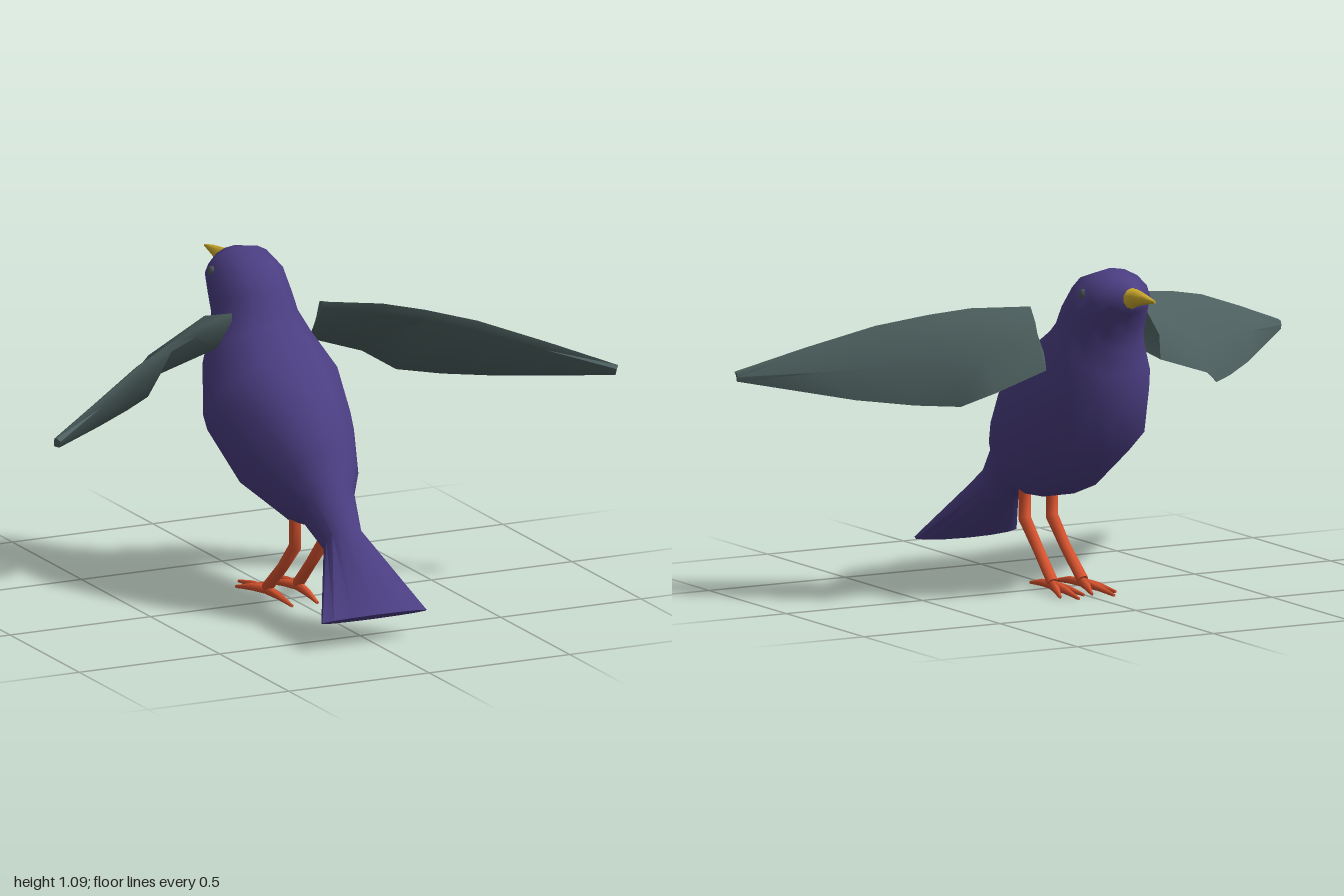
import * as THREE from 'three';
import { toCreasedNormals } from 'three/addons/utils/BufferGeometryUtils.js';

const V = (x, y, z) => new THREE.Vector3(x, y, z);

// Closed skin over rings of equal length, with capped ends, always facing outward
function loft(rings, crease = 0.7) {
  const n = rings[0].length;
  const pts = rings.flat();
  const index = [];
  for (let r = 0; r < rings.length - 1; r++) {
    for (let i = 0; i < n; i++) {
      const a = r * n + i, b = r * n + (i + 1) % n;
      index.push(a, b, b + n, a, b + n, a + n);
    }
  }
  for (const [r, flip] of [[0, true], [rings.length - 1, false]]) {
    const mid = pts.length;
    const c = V(0, 0, 0);
    rings[r].forEach((p) => c.addScaledVector(p, 1 / n));
    pts.push(c);
    for (let i = 0; i < n; i++) {
      const a = r * n + i, b = r * n + (i + 1) % n;
      index.push(mid, flip ? b : a, flip ? a : b);
    }
  }
  // Signed volume tells whether the winding has to be reversed
  let volume = 0;
  for (let i = 0; i < index.length; i += 3) {
    volume += pts[index[i]].dot(V(0, 0, 0).crossVectors(pts[index[i + 1]], pts[index[i + 2]]));
  }
  if (volume < 0) index.reverse();
  const g = new THREE.BufferGeometry().setFromPoints(pts);
  g.setIndex(index);
  return toCreasedNormals(g, crease);
}

// Elliptical ring from a top point, a bottom point (z, y) and a half width
function bodyRing([zt, yt, zb, yb, w], sides = 14) {
  return Array.from({ length: sides }, (_, i) => {
    const a = (i / sides) * Math.PI * 2 + Math.PI / 2, s = Math.sin(a) / 2;
    return V(Math.cos(a) * w, (yt + yb) / 2 + s * (yt - yb), (zt + zb) / 2 + s * (zt - zb));
  });
}

// Tapered limb through points [x, y, z, radius], mitred at the bends
function limb(path, side, sides = 8) {
  const p = path.map(([x, y, z]) => V(x * side, y, z));
  return loft(p.map((c, i) => {
    const dir = p[Math.min(i + 1, p.length - 1)].clone().sub(p[Math.max(i - 1, 0)]).normalize();
    const u = V(1, 0, 0).addScaledVector(dir, -dir.x).normalize();
    const v = V(0, 0, 0).crossVectors(dir, u);
    return Array.from({ length: sides }, (_, k) => {
      const a = (k / sides) * Math.PI * 2, r = path[i][3];
      return c.clone().addScaledVector(u, Math.cos(a) * r).addScaledVector(v, Math.sin(a) * r);
    });
  }), 1.2);
}

// Tail tip to face: top z, top y, bottom z, bottom y, half width
const BODY = [
  [0.62, 0.10, 0.58, 0.075, 0.19],
  [0.42, 0.34, 0.33, 0.23, 0.065],
  [0.31, 0.47, 0.21, 0.29, 0.095],
  [0.28, 0.56, 0.10, 0.28, 0.14],
  [0.16, 0.70, -0.10, 0.32, 0.20],
  [0.02, 0.80, -0.29, 0.46, 0.235],
  [-0.10, 0.88, -0.385, 0.64, 0.185],
  [-0.14, 0.93, -0.40, 0.75, 0.15],
  [-0.16, 0.98, -0.405, 0.83, 0.135],
  [-0.23, 1.055, -0.42, 0.88, 0.13],
  [-0.335, 1.087, -0.445, 0.935, 0.112],
  [-0.41, 1.07, -0.46, 0.955, 0.075],
  [-0.475, 1.043, -0.477, 0.973, 0.034],
];

const BEAK = [
  [-0.472, 1.043, -0.474, 0.973, 0.034],
  [-0.51, 1.04, -0.51, 0.988, 0.024],
  [-0.56, 1.034, -0.56, 1.001, 0.014],
  [-0.622, 1.022, -0.622, 1.014, 0.004],
];

// Wing sections, root to tip: upper back edge, upper ridge, front, lower edge, two inner points
const WING = [
  [[0.16, 0.94, -0.10], [0.205, 0.91, -0.21], [0.22, 0.84, -0.265], [0.21, 0.765, -0.29], [0.165, 0.80, -0.20], [0.16, 0.915, -0.10]],
  [[0.33, 0.935, -0.01], [0.34, 0.907, -0.07], [0.40, 0.80, -0.22], [0.39, 0.705, -0.28], [0.38, 0.75, -0.17], [0.33, 0.90, -0.02]],
  [[0.45, 0.915, 0.05], [0.46, 0.89, 0.01], [0.49, 0.78, -0.13], [0.47, 0.655, -0.195], [0.46, 0.70, -0.10], [0.45, 0.885, 0.05]],
  [[0.60, 0.88, 0.13], [0.60, 0.865, 0.10], [0.62, 0.77, -0.01], [0.58, 0.653, -0.09], [0.57, 0.69, -0.02], [0.59, 0.85, 0.125]],
  [[0.80, 0.81, 0.235], [0.80, 0.80, 0.215], [0.79, 0.745, 0.135], [0.72, 0.662, 0.045], [0.73, 0.685, 0.10], [0.79, 0.785, 0.23]],
  [[1.0, 0.735, 0.335], [1.0, 0.732, 0.322], [1.0, 0.72, 0.316], [1.0, 0.705, 0.32], [0.99, 0.703, 0.335], [0.99, 0.725, 0.345]],
];

const LEG = [
  [0.05, 0.31, 0.13, 0.02], [0.05, 0.21, 0.13, 0.021],
  [0.05, 0.12, 0.04, 0.018], [0.055, 0.03, -0.06, 0.019],
];
const TOE_TIPS = [[0.015, -0.19], [0.065, -0.245], [0.102, -0.19], [0.045, 0.10]];

export function createModel() {
  const bird = new THREE.Group();
  bird.name = 'bird';
  const paint = (name, color) => {
    const m = new THREE.MeshStandardMaterial({ color });
    m.name = name;
    return m;
  };
  const purple = paint('purple plumage', 0x4b3e82);
  const slate = paint('slate wing', 0x4c5f5e);
  const yellow = paint('yellow beak', 0xcaa92c);
  const orange = paint('orange leg', 0xd8532f);
  const grey = paint('grey eye', 0x4c5856);

  const add = (name, geometry, material, parent = bird) => {
    const mesh = new THREE.Mesh(geometry, material);
    mesh.name = name;
    parent.add(mesh);
    return mesh;
  };

  add('body', loft(BODY.map((r) => bodyRing(r)), 1.0), purple);
  add('beak', loft(BEAK.map((r) => bodyRing(r, 10)), 1.0), yellow);

  for (const [word, side] of [['left', 1], ['right', -1]]) {
    // Wing
    add(word + 'Wing', loft(WING.map((s) => s.map(([x, y, z]) => V(x * side, y, z))), 0.75), slate);

    // Eye
    const eye = add(word + 'Eye', new THREE.SphereGeometry(0.019, 14, 10), grey);
    eye.position.set(0.108 * side, 1.01, -0.35);
    eye.scale.x = 0.7;

    // Leg with three front toes and one back toe
    const leg = new THREE.Group();
    leg.name = word + 'Leg';
    bird.add(leg);
    add('shank', limb(LEG, side), orange, leg);
    TOE_TIPS.forEach(([x, z], i) => {
      const mid = [(x + 0.055) / 2, 0.018, (z - 0.06) / 2, 0.012];
      add('toe' + (i + 1), limb([[0.055, 0.022, -0.06, 0.016], mid, [x, 0.006, z, 0.005]], side), orange, leg);
    });
  }
  return bird;
}
